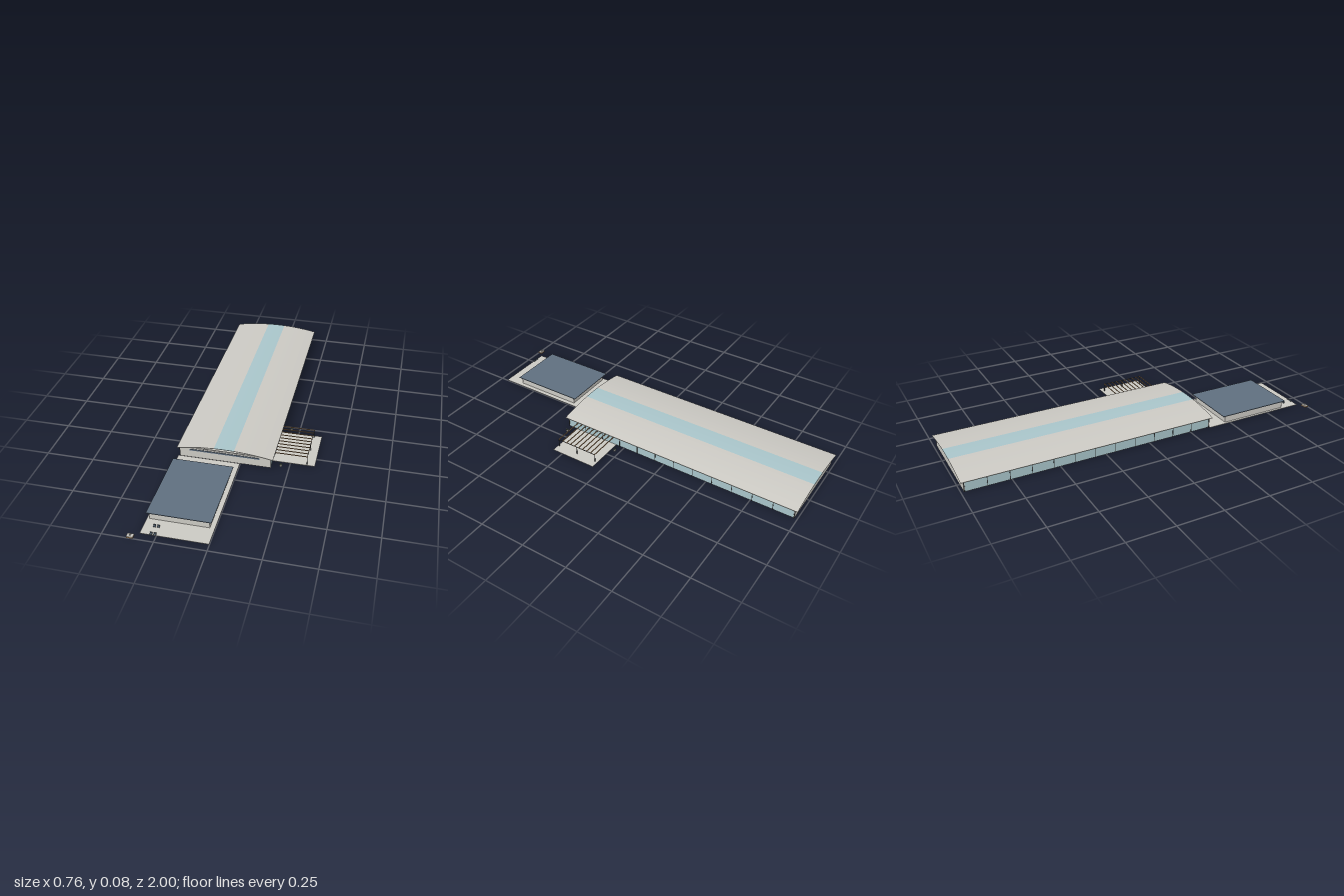
import * as THREE from 'three';

const mat = (name, color, extra = {}) => Object.assign(new THREE.MeshStandardMaterial({ color, ...extra }), { name });

export function createModel() {
  const concrete = mat('concrete', 0xcbc9c3);
  const glass = mat('glass', 0xa9c5ca);
  const slate = mat('slate', 0x5f6f7f);
  const metal = mat('dark metal', 0x3c4042);
  const wood = mat('wood', 0xa98660);
  const green = mat('foliage', 0x6f7f62, { flatShading: true });

  const model = new THREE.Group();
  model.name = 'exhibitionHall';
  const group = (name) => {
    const g = new THREE.Group();
    g.name = name;
    model.add(g);
    return g;
  };
  // Box given by its minimum and maximum on each axis
  const box = (parent, name, m, x0, x1, y0, y1, z0, z1) => {
    const b = new THREE.Mesh(new THREE.BoxGeometry(x1 - x0, y1 - y0, z1 - z0), m);
    b.position.set((x0 + x1) / 2, (y0 + y1) / 2, (z0 + z1) / 2);
    b.name = name;
    parent.add(b);
    return b;
  };

  // Hall: floor, solid end walls and glazed long sides
  const hall = group('hall');
  const X0 = -0.32, X1 = 0.157, Z0 = -0.985, Z1 = 0.367;
  box(hall, 'hallFloor', concrete, X0, X1, 0, 0.002, Z0, Z1);
  box(hall, 'backWall', concrete, X0, X1, 0, 0.06, Z0, Z0 + 0.006);
  box(hall, 'frontWall', concrete, X0, X1, 0, 0.06, Z1 - 0.006, Z1);
  box(hall, 'frontStripWindow', slate, -0.268, 0.1, 0.043, 0.051, Z1, Z1 + 0.003);
  for (const x of [-0.195, -0.11]) box(hall, 'gablePost', metal, x - 0.0005, x + 0.0005, 0.051, 0.06, Z1, Z1 + 0.001);
  const bays = 12;
  for (const [x, s] of [[X0, -1], [X1, 1]]) {
    box(hall, 'sideGlass', glass, x - 0.0015, x + 0.0015, 0.002, 0.056, Z0 + 0.006, Z1 - 0.006);
    box(hall, 'eaveBeam', concrete, x - 0.002, x + 0.002, 0.056, 0.06, Z0, Z1);
    for (let i = 0; i <= bays; i++) {
      const z = Z0 + 0.002 + (Z1 - Z0 - 0.004) * i / bays;
      box(hall, 'mullion', metal, x + s * 0.001 - 0.0015, x + s * 0.001 + 0.0015, 0, 0.057, z - 0.0017, z + 0.0017);
    }
  }

  // Arched roof: bands cut from one shallow curve
  const roof = group('archedRoof');
  const cx = -0.081, half = 0.252;
  const top = (x) => 0.059 + 0.025 * (1 - ((x - cx) / half) ** 2);
  const band = (name, m, x0, x1, lift, thick, z0, z1, n = 8) => {
    const pts = [];
    for (let i = 0; i <= n; i++) {
      const x = x0 + (x1 - x0) * i / n;
      pts.push([x, top(x) + lift]);
    }
    const outline = [...pts, ...pts.map(([x, y]) => [x, y - thick]).reverse()];
    const shape = new THREE.Shape(outline.map(([x, y]) => new THREE.Vector2(x, y)));
    const mesh = new THREE.Mesh(new THREE.ExtrudeGeometry(shape, { depth: z1 - z0, bevelEnabled: false }), m);
    mesh.position.z = z0;
    mesh.name = name;
    roof.add(mesh);
  };
  band('roofLeft', concrete, cx - half, -0.135, 0, 0.002, -1, 0.38);
  band('skylight', glass, -0.135, -0.03, 0, 0.002, -1, 0.38, 6);
  band('roofRight', concrete, -0.03, cx + half, 0, 0.002, -1, 0.38);
  for (let i = 0; i <= bays; i++) {
    const z = Z0 + 0.003 + (Z1 - Z0 - 0.006) * i / bays;
    band('roofRib', metal, X0, X1, -0.002, 0.0018, z - 0.002, z + 0.002, 14);
  }

  // Front annex on its terrace
  const annex = group('annex');
  box(annex, 'terrace', concrete, -0.33, -0.002, 0, 0.002, 0.37, 0.96);
  box(annex, 'annexWalls', concrete, -0.317, -0.026, 0.002, 0.0425, 0.474, 0.858);
  box(annex, 'annexRoof', slate, -0.329, -0.014, 0.0425, 0.0455, 0.455, 0.87);

  // Side pergola: slab, frame and slats
  const pergola = group('pergola');
  box(pergola, 'pergolaSlab', concrete, X1, 0.376, 0, 0.002, 0.05, 0.31);
  for (const z of [0.065, 0.182, 0.3]) box(pergola, 'pergolaPost', metal, 0.333, 0.336, 0.002, 0.047, z - 0.0015, z + 0.0015);
  box(pergola, 'pergolaBeam', metal, 0.333, 0.336, 0.0455, 0.0475, 0.063, 0.302);
  for (let i = 0; i < 10; i++) {
    const z = 0.065 + 0.0261 * i;
    box(pergola, 'pergolaSlat', wood, X1, 0.337, 0.0475, 0.05, z - 0.0025, z + 0.0025);
  }

  // Potted plants either side of the pergola
  for (const z of [0.028, 0.345]) {
    const plant = group('pottedPlant');
    plant.position.set(0.206, 0, z);
    const pot = new THREE.Mesh(new THREE.CylinderGeometry(0.007, 0.0055, 0.009, 10), concrete);
    pot.position.y = 0.0045;
    pot.name = 'pot';
    plant.add(pot);
    for (let i = 0; i < 6; i++) {
      const leaf = new THREE.Mesh(new THREE.ConeGeometry(0.002, 0.014, 4), green);
      const a = i * Math.PI / 3;
      leaf.position.set(Math.cos(a) * 0.006, 0.014, Math.sin(a) * 0.006);
      leaf.rotation.set(Math.sin(a) * 0.9, 0, -Math.cos(a) * 0.9);
      leaf.name = 'leaf';
      plant.add(leaf);
    }
  }

  // Seats on the terrace
  for (const z of [0.905, 0.956]) {
    const set = group('terraceSeats');
    for (const x of [-0.277, -0.258]) {
      box(set, 'seat', slate, x - 0.006, x + 0.006, 0.005, 0.007, z - 0.005, z + 0.005);
      box(set, 'seatBack', slate, x - 0.006, x + 0.006, 0.007, 0.013, z - 0.005, z - 0.004);
      for (const dx of [-0.005, 0.005]) box(set, 'seatLeg', metal, x + dx - 0.0005, x + dx + 0.0005, 0.002, 0.005, z - 0.004, z + 0.004);
    }
  }

  // Wooden planter at the corner
  const planter = group('planter');
  box(planter, 'planterBody', wood, -0.38, -0.349, 0, 0.007, 0.977, 1);
  box(planter, 'planterRim', concrete, -0.38, -0.349, 0.007, 0.009, 0.977, 1);
  box(planter, 'planterTop', concrete, -0.368, -0.361, 0.009, 0.015, 0.984, 0.992);

  return model;
}
